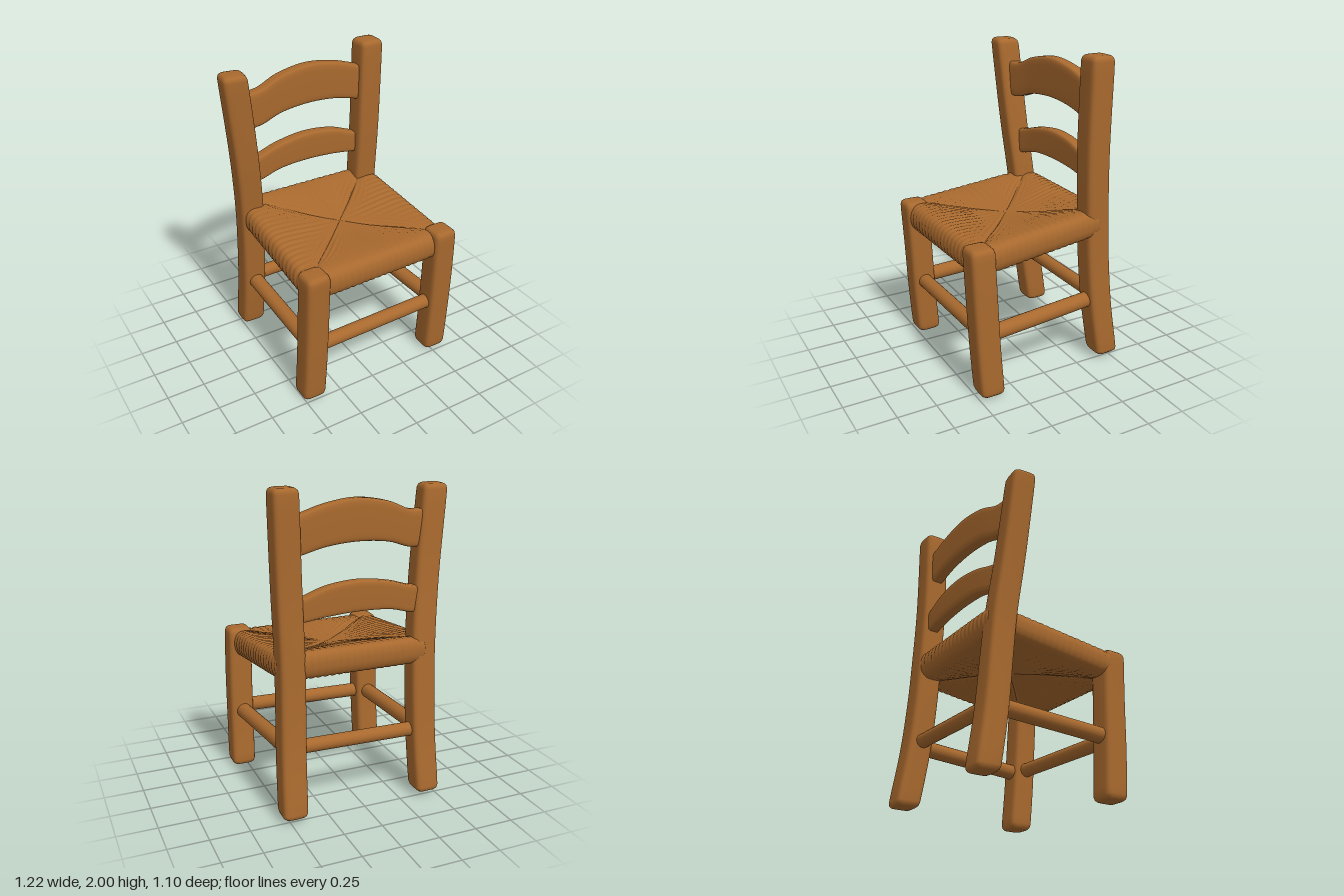
import * as THREE from 'three';

const wood = new THREE.MeshStandardMaterial({ color: 0xa8692e });
wood.name = 'warm brown wood';

const V = (x, y, z) => new THREE.Vector3(x, y, z);

// Unit rounded square, angle a -> [u, v]
const roundedSquare = (a, n = 5) => [Math.cos(a), Math.sin(a)].map(
  (c) => Math.sign(c) * Math.pow(Math.abs(c), 2 / n));

// Skin a stack of closed rings that all have the same number of points
function loft(name, rings) {
  const n = rings[0].length, pos = [], idx = [];
  rings.forEach((ring) => ring.forEach((p) => pos.push(p.x, p.y, p.z)));
  for (let i = 0; i < rings.length - 1; i++) {
    for (let j = 0; j < n; j++) {
      const a = i * n + j, b = i * n + (j + 1) % n;
      idx.push(a, a + n, b, b, a + n, b + n);
    }
  }
  const geo = new THREE.BufferGeometry();
  geo.setAttribute('position', new THREE.Float32BufferAttribute(pos, 3));
  geo.setIndex(idx);
  geo.computeVertexNormals();
  const mesh = new THREE.Mesh(geo, wood);
  mesh.name = name;
  return mesh;
}

// Square post with softened ends that follows a bent centre line
function post(name, points, half, twist = 0) {
  const curve = new THREE.CatmullRomCurve3(points.map((p) => V(...p)));
  const len = curve.getLength();
  const ends = [[0, 0], [0, 0.6], [0.004, 0.78], [0.015, 0.92], [0.035, 0.99]];
  const stations = [...ends];
  for (let i = 1; i < 24; i++) stations.push([0.035 + (len - 0.07) * i / 24, 1]);
  [...ends].reverse().forEach(([d, s]) => stations.push([len - d, s]));
  return loft(name, stations.map(([d, s]) => {
    const t = d / len, c = curve.getPointAt(t), ring = [];
    const cos = Math.cos(twist * t), sin = Math.sin(twist * t);
    for (let j = 0; j < 32; j++) {
      const [u, v] = roundedSquare(j / 32 * Math.PI * 2);
      ring.push(V(c.x + half * s * (u * cos - v * sin), c.y, c.z + half * s * (u * sin + v * cos)));
    }
    return ring;
  }));
}

// Arched back slat; outline rows are [x, bottom y, top y], depths are z at left end, middle, right end
function slat(name, outline, [z0, zm, z1], halfDepth) {
  const low = new THREE.SplineCurve(outline.map((o) => new THREE.Vector2(o[0], o[1])));
  const high = new THREE.SplineCurve(outline.map((o) => new THREE.Vector2(o[0], o[2])));
  const rings = [];
  for (let i = 0; i <= 36; i++) {
    const t = i / 36, p = low.getPoint(t), q = high.getPoint(t);
    const z = z0 * (1 - t) * (1 - 2 * t) + zm * 4 * t * (1 - t) + z1 * t * (2 * t - 1);
    const ring = [];
    for (let j = 0; j < 32; j++) {
      const [u, v] = roundedSquare(j / 32 * Math.PI * 2, 6);
      ring.push(V(p.x, (p.y + q.y) / 2 + v * (q.y - p.y) / 2, z + u * halfDepth));
    }
    rings.push(ring);
  }
  return loft(name, rings);
}

// Round rung between two points
function rung(name, a, b, radius) {
  const from = V(...a), to = V(...b);
  const mesh = new THREE.Mesh(
    new THREE.CylinderGeometry(radius, radius, from.distanceTo(to), 20), wood);
  mesh.position.copy(from).lerp(to, 0.5);
  mesh.quaternion.setFromUnitVectors(V(0, 1, 0), to.sub(from).normalize());
  mesh.name = name;
  return mesh;
}

// Woven seat: four wedges of parallel strands wrapped over the rim to a sunken centre
function wovenSeat() {
  const corners = [[0.525, -0.45], [0.565, 0.51], [-0.5, 0.535], [-0.5, -0.45]];
  const centre = [0.03, 0.02], perSide = 120;
  const half = [[0, 0.035], [0.3, 0.05], [0.65, 0.077], [0.86, 0.087], [0.95, 0.074], [0.99, 0.04]];
  const profile = new THREE.SplineCurve([
    ...half.map(([r, h]) => new THREE.Vector2(r, -h)),
    new THREE.Vector2(1, 0),
    ...[...half].reverse().map(([r, h]) => new THREE.Vector2(r, h)),
  ]).getPoints(48);
  const rings = profile.map(({ x, y: h }) => {
    const r = Math.max(0, x), ring = [];
    for (let s = 0; s < 4; s++) {
      const a = corners[s], b = corners[(s + 1) % 4];
      const length = Math.hypot(b[0] - a[0], b[1] - a[1]);
      for (let j = 0; j < perSide; j++) {
        const t = 2 * j / perSide - 1, k = (t + 1) / 2;
        // strands stay parallel, so their position shrinks with r
        const strand = Math.abs(Math.sin(Math.PI * t * r * length / 2 / 0.046 + s));
        const rib = 0.007 * (strand - 0.6) * Math.min(1, r * 2);
        const seam = 0.012 * Math.pow(Math.abs(t), 14) * Math.min(1, r * 3);
        const rim = Math.min(1, Math.max(0, (r - 0.9) * 10));
        const scale = r * (1 - 0.06 * Math.pow(Math.abs(t), 10)) + rib * 2 * rim;
        const px = centre[0] + (a[0] + (b[0] - a[0]) * k - centre[0]) * scale;
        const pz = centre[1] + (a[1] + (b[1] - a[1]) * k - centre[1]) * scale;
        const lift = (rib - seam) * (1 - rim) * Math.sign(h);
        ring.push(V(px, 0.92 - 0.1 * pz + h + lift, pz));
      }
    }
    return ring;
  });
  return loft('wovenSeat', rings);
}

export function createModel() {
  const chair = new THREE.Group();
  chair.name = 'chair';

  // Legs and back posts, each slightly crooked
  chair.add(
    post('frontRightLeg', [[-0.43, 0, 0.417], [-0.425, 0.3, 0.44], [-0.42, 0.65, 0.458], [-0.42, 0.968, 0.475]], 0.08),
    post('frontLeftLeg', [[0.53, 0.008, 0.41], [0.525, 0.3, 0.432], [0.52, 0.65, 0.45], [0.51, 0.98, 0.462]], 0.08),
    post('backRightPost', [[-0.435, 0.03, -0.468], [-0.43, 0.4, -0.412], [-0.43, 0.75, -0.38],
      [-0.437, 1, -0.358], [-0.47, 1.4, -0.315], [-0.532, 1.975, -0.275]], 0.08, 0.12),
    post('backLeftPost', [[0.468, 0.025, -0.468], [0.455, 0.4, -0.413], [0.443, 0.75, -0.385],
      [0.44, 1, -0.373], [0.447, 1.4, -0.355], [0.459, 2, -0.353]], 0.081),
  );

  // Back slats
  chair.add(
    slat('upperSlat', [[-0.48, 1.6, 1.83], [-0.35, 1.603, 1.833], [-0.2, 1.648, 1.89], [0, 1.665, 1.92],
      [0.2, 1.65, 1.895], [0.37, 1.61, 1.845], [0.45, 1.6, 1.83]], [-0.295, -0.34, -0.357], 0.043),
    slat('lowerSlat', [[-0.46, 1.2, 1.36], [-0.35, 1.203, 1.373], [-0.2, 1.24, 1.415], [0, 1.25, 1.44],
      [0.2, 1.24, 1.42], [0.36, 1.22, 1.365], [0.45, 1.215, 1.35]], [-0.335, -0.372, -0.365], 0.04),
  );

  chair.add(wovenSeat());

  // Rungs between the legs
  chair.add(
    rung('frontRung', [-0.42, 0.395, 0.445], [0.52, 0.415, 0.44], 0.047),
    rung('backRung', [-0.43, 0.432, -0.405], [0.45, 0.445, -0.405], 0.045),
    rung('rightRung', [-0.425, 0.4, 0.44], [-0.43, 0.43, -0.4], 0.05),
    rung('leftRung', [0.522, 0.4, 0.44], [0.455, 0.43, -0.4], 0.05),
  );
  return chair;
}
